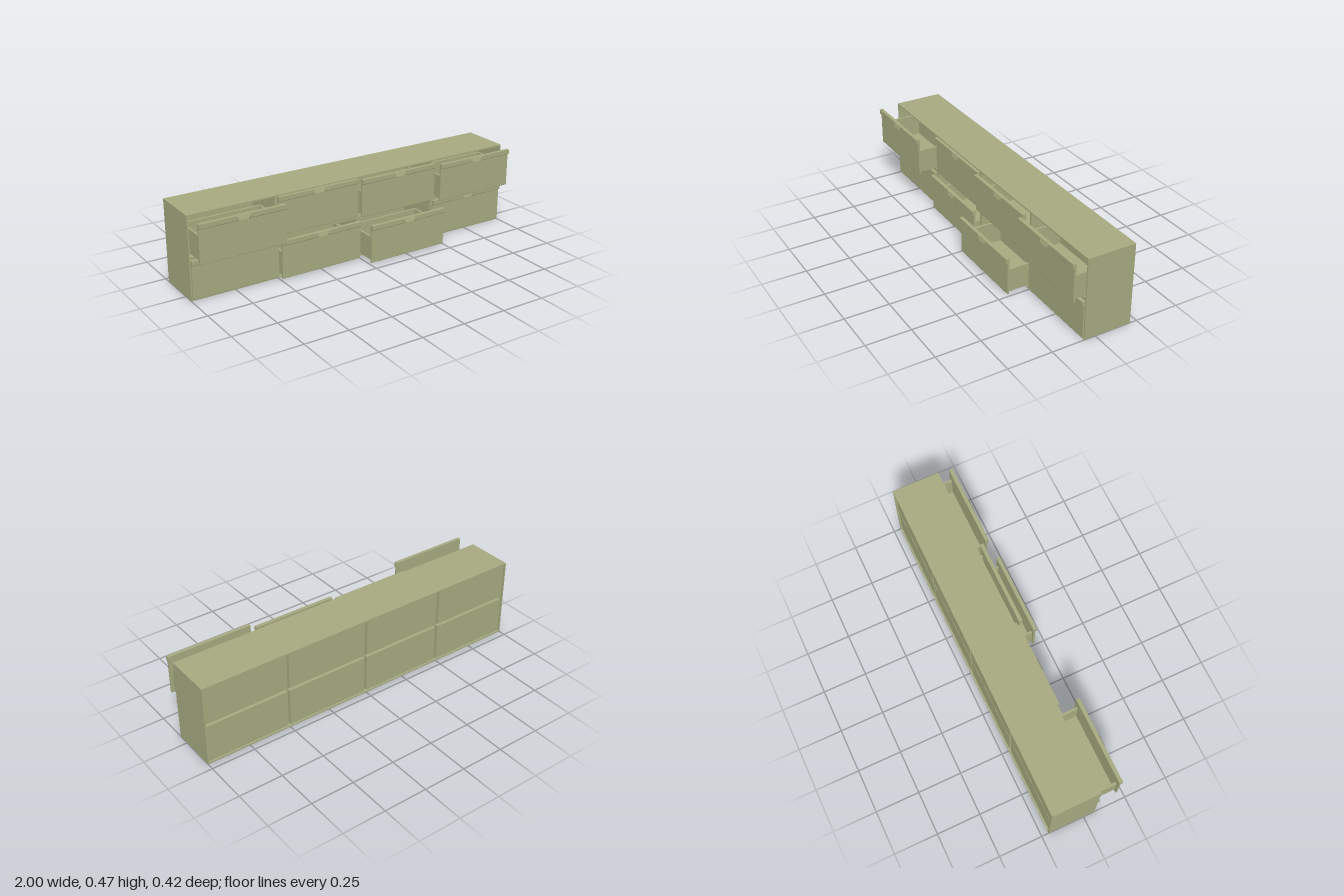
import * as THREE from 'three';

const W = 2, H = 0.467, BACK = -0.21, FRONT = 0.065, WALL = 0.008;
const SHELF_Y = 0.234, GAP = 0.016;
const COLUMNS = [-0.75, -0.25, 0.25, 0.75];
// z of each drawer front, left to right, for the lower and upper row
const ROWS = [
  { y: 0.008, fronts: [0.073, 0.104, 0.193, 0.073] },
  { y: 0.243, fronts: [0.18, 0.073, 0.1, 0.137] },
];
const FACE_W = 0.486;

const material = new THREE.MeshStandardMaterial({ color: 0xa5a97f, flatShading: true });

function add(parent, name, geometry, x = 0, y = 0, z = 0) {
  const mesh = new THREE.Mesh(geometry, material);
  mesh.name = name;
  mesh.position.set(x, y, z);
  parent.add(mesh);
  return mesh;
}

// box given by its limits
function slab(parent, name, x0, x1, y0, y1, z0, z1) {
  return add(parent, name, new THREE.BoxGeometry(x1 - x0, y1 - y0, z1 - z0),
    (x0 + x1) / 2, (y0 + y1) / 2, (z0 + z1) / 2);
}

// [z, y] profile swept along x, centred
function sweep(points, width) {
  const shape = new THREE.Shape(points.map(([z, y]) => new THREE.Vector2(z, y)));
  const g = new THREE.ExtrudeGeometry(shape, { depth: width, bevelEnabled: false });
  return g.translate(0, 0, -width / 2).rotateY(-Math.PI / 2);
}

function createDrawer() {
  const drawer = new THREE.Group();
  // front panel with a thickened top lip
  add(drawer, 'drawerFront', sweep([
    [-0.01, 0], [-0.001, 0], [0, 0.002], [0, 0.187], [0.008, 0.19], [0.01, 0.193],
    [0.01, 0.217], [-0.01, 0.217],
  ], FACE_W));

  // small wedge pull, narrowing towards its tip
  const pull = sweep([[0.002, 0.188], [0.017, 0.194], [0.01, 0.216], [0.002, 0.216]], 0.085);
  const p = pull.attributes.position;
  for (let i = 0; i < p.count; i++) if (p.getZ(i) > 0.015) p.setX(i, p.getX(i) * 0.6);
  pull.computeVertexNormals();
  add(drawer, 'pull', pull);

  // open tray behind the front
  const h = 0.226, t = 0.013, y0 = 0.003, y1 = 0.137, z0 = -0.245, z1 = -0.01;
  for (const s of [-1, 1]) {
    const c = s * (h - t / 2);
    slab(drawer, 'drawerSide', c - t / 2, c + t / 2, y0, y1, z0, z1);
  }
  slab(drawer, 'drawerBack', -h + t, h - t, y0, y1, z0, z0 + t);
  slab(drawer, 'drawerBottom', -h + t, h - t, y0, y0 + 0.008, z0 + t, z1);
  return drawer;
}

export function createModel() {
  const model = new THREE.Group();
  model.name = 'drawerCabinet';

  // outer frame, open front and back
  const rect = (P, x, y0, y1) => {
    const s = new P();
    s.moveTo(-x, y0).lineTo(x, y0).lineTo(x, y1).lineTo(-x, y1).closePath();
    return s;
  };
  const outline = rect(THREE.Shape, W / 2, 0, H);
  outline.holes.push(rect(THREE.Path, W / 2 - WALL, WALL, H - WALL));
  add(model, 'carcass', new THREE.ExtrudeGeometry(outline, {
    depth: FRONT - BACK, bevelEnabled: false,
  }), 0, 0, BACK);

  // shelf and dividers, set in from the back
  const inner = -0.18, half = GAP / 2;
  slab(model, 'shelf', -W / 2 + WALL, W / 2 - WALL, SHELF_Y - half, SHELF_Y + half, inner, FRONT);
  for (const x of [-0.5, 0, 0.5]) {
    slab(model, 'divider', x - half, x + half, WALL, SHELF_Y - half, inner, FRONT);
    slab(model, 'divider', x - half, x + half, SHELF_Y + half, H - WALL, inner, FRONT);
  }

  // back panel and drawer of every compartment
  ROWS.forEach((row, r) => {
    const y0 = r ? SHELF_Y + half : WALL;
    const y1 = r ? H - WALL : SHELF_Y - half;
    COLUMNS.forEach((x, c) => {
      slab(model, 'backPanel', x - 0.242, x + 0.242, y0, y1, inner - 0.02, inner);
      const drawer = createDrawer();
      drawer.name = `${r ? 'upper' : 'lower'}Drawer${c + 1}`;
      drawer.position.set(x, row.y, row.fronts[c]);
      model.add(drawer);
    });
  });

  return model;
}
